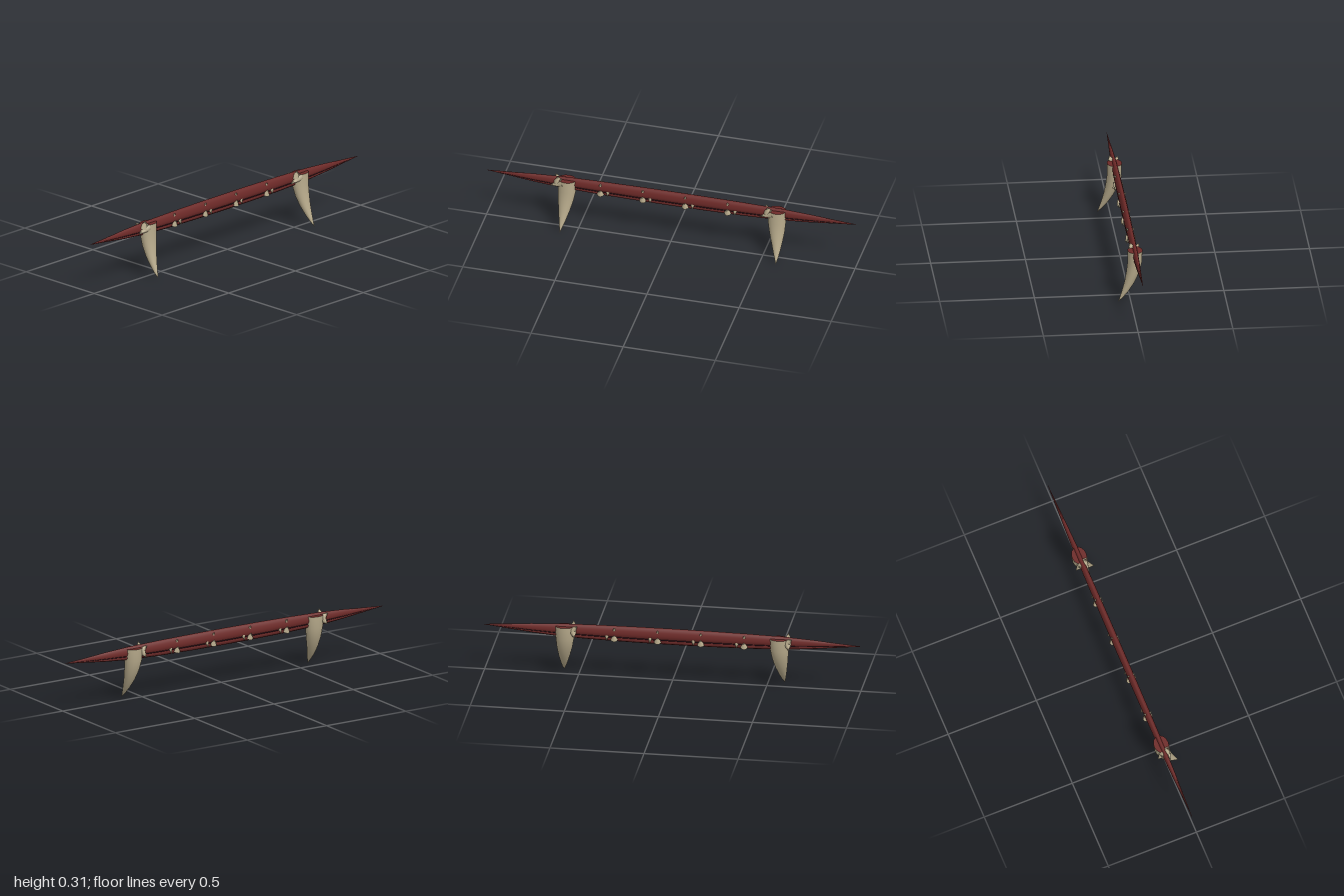
import * as THREE from 'three';

const red = new THREE.MeshStandardMaterial({ color: 0x6e2a28, side: THREE.DoubleSide });
const dark = new THREE.MeshStandardMaterial({ color: 0x33151f, side: THREE.DoubleSide });
const bone = new THREE.MeshStandardMaterial({ color: 0xb8ab8c, side: THREE.DoubleSide });

// Skin a list of rings (each an equal-length list of Vector3)
function loft(rings) {
  const n = rings[0].length, pos = [], idx = [];
  rings.forEach(r => r.forEach(p => pos.push(p.x, p.y, p.z)));
  for (let i = 0; i < rings.length - 1; i++) {
    for (let j = 0; j < n; j++) {
      const a = i * n + j, b = i * n + (j + 1) % n;
      idx.push(a, b, a + n, b, b + n, a + n);
    }
  }
  const g = new THREE.BufferGeometry();
  g.setAttribute('position', new THREE.Float32BufferAttribute(pos, 3));
  g.setIndex(idx);
  g.computeVertexNormals();
  return g;
}

function add(parent, name, geometry, material) {
  const mesh = new THREE.Mesh(geometry, material);
  mesh.name = name;
  parent.add(mesh);
  return mesh;
}

// Lens-shaped bar along x; section is a list of [z, y] in half-width / half-height units
function spindle(section) {
  const stations = [[0, 1], [0.2, 0.98], [0.4, 0.92], [0.6, 0.79], [0.75, 0.55], [0.88, 0.27], [1, 0.03]];
  const all = [...stations.slice(1).reverse().map(([x, s]) => [-x, s]), ...stations];
  return loft(all.map(([x, s]) => section.map(([z, y]) =>
    new THREE.Vector3(x, 0.268 - 0.009 * s + y * 0.046 * s, -0.025 + z * 0.019 * s))));
}

// Small cone from a base point towards a tip
function spike(parent, name, base, tip, radius) {
  const a = new THREE.Vector3(...base), d = new THREE.Vector3(...tip).sub(a);
  const g = new THREE.ConeGeometry(radius, d.length(), 8);
  g.translate(0, d.length() / 2, 0);
  const m = add(parent, name, g, bone);
  m.position.copy(a);
  m.quaternion.setFromUnitVectors(new THREE.Vector3(0, 1, 0), d.normalize());
}

// Curved fang: each ring is [y, front z, back z, half width, inward x shift]
function fang(side) {
  const g = new THREE.Group();
  g.name = side > 0 ? 'leftFang' : 'rightFang';
  const data = [
    [0.285, 0.015, -0.064, 0.05, 0], [0.22, 0.015, -0.061, 0.049, 0], [0.163, 0.022, -0.046, 0.042, 0.003],
    [0.109, 0.032, -0.022, 0.031, 0.007], [0.06, 0.046, 0.01, 0.019, 0.011], [0.025, 0.057, 0.039, 0.009, 0.014],
    [0.002, 0.066, 0.064, 0.001, 0.016],
  ];
  const rings = data.map(([y, f, b, w, s]) => Array.from({ length: 16 }, (_, j) => {
    const t = j / 16 * Math.PI * 2;
    return new THREE.Vector3(side * (0.57 + s) + w * Math.sin(t), y, (f + b) / 2 + (f - b) / 2 * Math.cos(t));
  }));
  rings.reverse();
  add(g, 'fangBody', loft(rings), bone);
  const cap = add(g, 'fangTop', new THREE.CircleGeometry(1, 16), red);
  cap.rotation.x = -Math.PI / 2;
  cap.scale.set(0.05, 0.0395, 1);
  cap.position.set(side * 0.57, 0.285, -0.0245);
  return g;
}

export function createModel() {
  const model = new THREE.Group();

  // Shaft: leaf-shaped section with a groove low on either flank
  const half = [[0, 1], [0.5, 0.86], [0.85, 0.5], [1, 0.1], [0.85, -0.25], [0.5, -0.4], [0.78, -0.55], [0.6, -0.82], [0, -1]];
  const section = [...half, ...half.slice(1, -1).reverse().map(([z, y]) => [-z, y])];
  add(model, 'shaft', spindle(section), red);

  // Dark strip lying in the grooves
  add(model, 'grooveCore', spindle([[0.66, -0.34], [0.66, -0.46], [-0.66, -0.46], [-0.66, -0.34]]), dark);

  for (const side of [-1, 1]) model.add(fang(side));

  // Cluster of larger spikes beside each fang
  for (const x of [-0.615, 0.525]) {
    const cluster = new THREE.Group();
    cluster.name = 'spikeCluster';
    spike(cluster, 'topSpike', [x, 0.27, -0.014], [x, 0.31, 0], 0.024);
    spike(cluster, 'sideSpike', [x + 0.025, 0.268, -0.01], [x - 0.045, 0.243, -0.005], 0.026);
    spike(cluster, 'backSpike', [x, 0.26, -0.035], [x - 0.01, 0.235, -0.066], 0.022);
    spike(cluster, 'backTopSpike', [x, 0.268, -0.035], [x - 0.025, 0.295, -0.05], 0.02);
    model.add(cluster);
  }

  // Rows of small spikes along both faces of the shaft
  for (let i = 0; i < 4; i++) {
    const x = -0.385 + i * 0.23;
    for (const s of [1, -1]) {
      const z = d => -0.025 + s * d;
      spike(model, 'largeStud', [x, 0.23, z(0.01)], [x, 0.258, z(0.025)], 0.02);
      spike(model, 'smallStud', [x + 0.04, 0.247, z(0.01)], [x + 0.04, 0.225, z(0.024)], 0.011);
      spike(model, 'upperStud', [x, 0.283, z(0.01)], [x, 0.296, z(0.022)], 0.009);
    }
  }
  return model;
}
